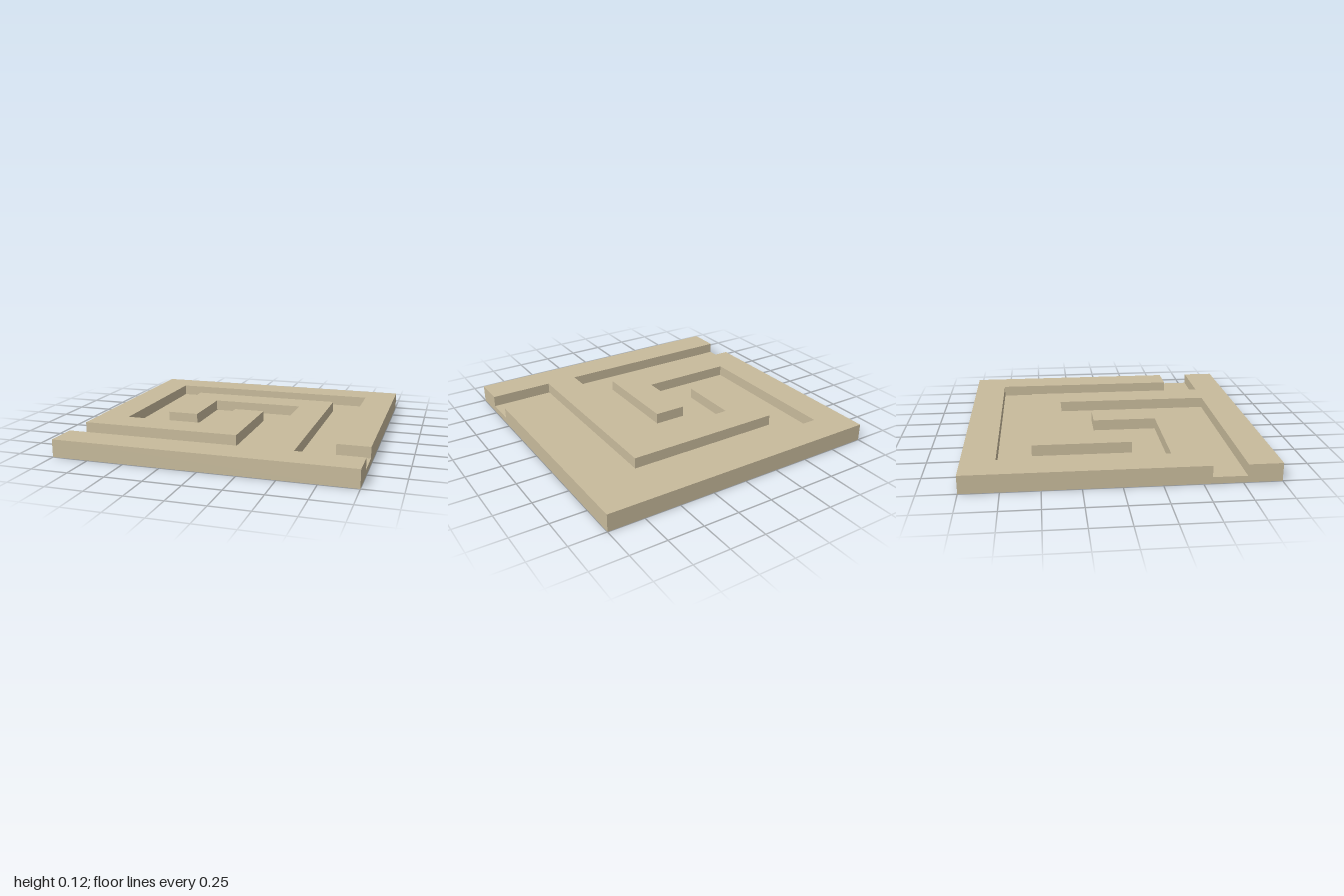
import * as THREE from 'three';

const U = 1 / 9;          // half of one cell in a nine by nine layout
const HEIGHT = 0.12;      // top of the raised walls
const FLOOR = 0.044;      // bottom of the channel

// Both edges of the meandering channel as [x, z] in half cells, from right side (-x) to left side (+x)
const innerEdge = [
  [-9, 5], [1, 5], [1, -1], [-1, -1], [-1, 3], [-7, 3], [-7, -7], [7, -7], [7, 5], [9, 5],
];
const outerEdge = [
  [-9, 7], [3, 7], [3, -3], [-3, -3], [-3, 1], [-5, 1], [-5, -5], [5, -5], [5, 7], [9, 7],
];

export function createModel() {
  const group = new THREE.Group();
  const stone = new THREE.MeshStandardMaterial({ color: 0xc8bb9c });
  stone.name = 'sandstone';

  // Raises a plan outline from the ground to the given height
  function slab(name, outline, height) {
    const shape = new THREE.Shape(outline.map(([x, z]) => new THREE.Vector2(x * U, -z * U)));
    const geometry = new THREE.ExtrudeGeometry(shape, { depth: height, bevelEnabled: false });
    geometry.rotateX(-Math.PI / 2);
    const mesh = new THREE.Mesh(geometry, stone);
    mesh.name = name;
    group.add(mesh);
  }

  slab('backWall', [...innerEdge, [9, -9], [-9, -9]], HEIGHT);
  slab('frontWall', [...outerEdge, [9, 9], [-9, 9]], HEIGHT);
  slab('channelFloor', [...innerEdge, ...[...outerEdge].reverse()], FLOOR);

  group.name = 'meanderTile';
  return group;
}
